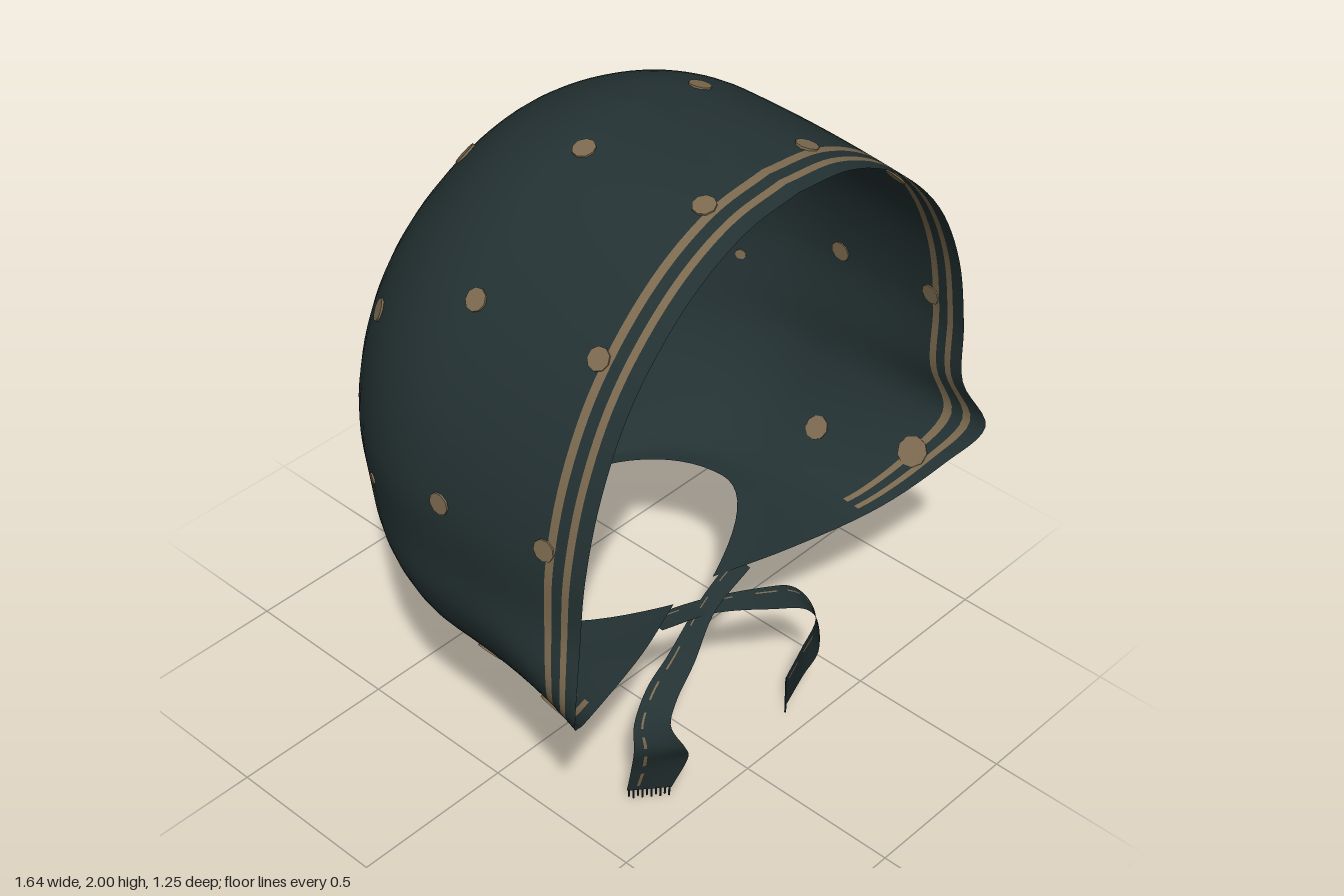
import * as THREE from 'three';
import { mergeVertices } from 'three/addons/utils/BufferGeometryUtils.js';

const cloth = new THREE.MeshStandardMaterial({ color: 0x243233, side: THREE.DoubleSide });
cloth.name = 'darkTealCloth';
const trim = new THREE.MeshStandardMaterial({ color: 0x7d6b50, side: THREE.DoubleSide });
trim.name = 'tanTrim';

const curve = (pts) => new THREE.CatmullRomCurve3(pts.map((p) => new THREE.Vector3(...p)));

// Grid surface; quads where isTrim(i, j) is true get the trim material
function gridGeometry(rows, cols, point, isTrim) {
  const pos = [], base = [], tan = [];
  for (let i = 0; i < rows; i++) for (let j = 0; j < cols; j++) pos.push(...point(i, j));
  for (let i = 0; i < rows - 1; i++) {
    for (let j = 0; j < cols - 1; j++) {
      const a = i * cols + j, c = a + cols;
      (isTrim(i, j) ? tan : base).push(a, a + 1, c, a + 1, c + 1, c);
    }
  }
  let geo = new THREE.BufferGeometry();
  geo.setAttribute('position', new THREE.Float32BufferAttribute(pos, 3));
  geo.setIndex([...base, ...tan]);
  geo.addGroup(0, base.length, 0);
  geo.addGroup(base.length, tan.length, 1);
  geo = mergeVertices(geo, 1e-5);
  geo.computeVertexNormals();
  return geo;
}

// Guide curves of the hood, from crown to neck: middle of back, side, front rim
const back = curve([
  [0, 2, 0.04], [0, 1.97, -0.1], [0, 1.87, -0.29], [0, 1.67, -0.46], [0, 1.45, -0.57], [0, 1.2, -0.62],
  [0, 1, -0.605], [0, 0.85, -0.55], [0, 0.7, -0.465], [0, 0.6, -0.42], [0, 0.545, -0.37], [0, 0.54, -0.33]]);
const side = curve([
  [0, 2, 0.06], [0.2, 1.97, 0.06], [0.4, 1.87, 0.06], [0.6, 1.67, 0.06], [0.72, 1.45, 0.06], [0.775, 1.2, 0.06],
  [0.765, 1, 0.06], [0.75, 0.85, 0.06], [0.68, 0.7, 0.06], [0.57, 0.595, 0.05], [0.48, 0.56, 0.03], [0.41, 0.56, 0.02]]);
const rim = curve([
  [0, 1.97, 0.59], [0.19, 1.945, 0.59], [0.38, 1.85, 0.59], [0.57, 1.66, 0.59], [0.68, 1.44, 0.59], [0.735, 1.2, 0.585],
  [0.755, 1, 0.585], [0.82, 0.83, 0.63], [0.74, 0.71, 0.56], [0.59, 0.585, 0.46], [0.3, 0.555, 0.37], [0.08, 0.535, 0.28]]);

function hoodGeometry() {
  const rows = 67;
  // 0 = middle of back, 1 = side, 2 = front rim; the close steps bound the stripes
  const half = [];
  for (let k = 1; k <= 16; k++) half.push(k / 16);
  half.push(...[0.1, 0.2, 0.3, 0.4, 0.5, 0.6, 0.7, 0.775, 0.82, 0.88, 0.92, 0.96, 1].map((t) => 1 + t));
  const cols = [...half.map((s) => -s).reverse(), 0, ...half];
  const point = (i, j) => {
    const u = i / (rows - 1), s = Math.abs(cols[j]), sign = Math.sign(cols[j]);
    const b = back.getPoint(u), m = side.getPoint(u), r = rim.getPoint(u);
    if (s <= 1) {
      const a = s * Math.PI / 2, y = THREE.MathUtils.lerp(b.y, m.y, Math.sin(a) ** 2);
      return [sign * m.x * Math.sin(a), y, m.z + (b.z - m.z) * Math.cos(a)];
    }
    const t = s - 1, e = t * t;
    return [sign * (m.x + (r.x - m.x) * e), m.y + (r.y - m.y) * e, m.z + (r.z - m.z) * t];
  };
  const isTrim = (i, j) => {
    const t = Math.abs((cols[j] + cols[j + 1]) / 2) - 1;
    return i < rows * 0.82 && ((t > 0.775 && t < 0.82) || (t > 0.88 && t < 0.92));
  };
  return gridGeometry(rows, cols.length, point, isTrim);
}

// Thin disc seated on the nearest point of the hood
function addSpot(group, geo, [x, y, z, r = 0.031]) {
  const P = geo.attributes.position, N = geo.attributes.normal;
  const target = new THREE.Vector3(x, y, z), p = new THREE.Vector3(), best = new THREE.Vector3();
  let id = 0, min = Infinity;
  for (let i = 0; i < P.count; i++) {
    const d = p.fromBufferAttribute(P, i).distanceToSquared(target);
    if (d < min) { min = d; id = i; best.copy(p); }
  }
  const normal = new THREE.Vector3().fromBufferAttribute(N, id);
  // slide the target onto the tangent plane for exact placement
  target.addScaledVector(normal, -target.clone().sub(best).dot(normal));
  const spot = new THREE.Mesh(new THREE.CylinderGeometry(r, r, 0.009, 9), trim);
  spot.name = 'spot';
  spot.position.copy(target);
  spot.quaternion.setFromUnitVectors(new THREE.Vector3(0, 1, 0), normal);
  group.add(spot);
}

// Ribbon between an outer and an inner edge, with a fringed end
function makeTie(sign, lift) {
  const group = new THREE.Group();
  const outer = curve([[-0.18, 0.545, 0.27], [0, 0.52, 0.31], [0.2, 0.475, 0.37], [0.3, 0.425, 0.385],
    [0.365, 0.34, 0.4], [0.38, 0.27, 0.415], [0.36, 0.15, 0.385], [0.34, 0.03, 0.35]]);
  const inner = curve([[-0.18, 0.535, 0.33], [0, 0.5, 0.36], [0.16, 0.455, 0.43], [0.27, 0.405, 0.465],
    [0.305, 0.35, 0.48], [0.28, 0.27, 0.51], [0.243, 0.19, 0.49], [0.243, 0.03, 0.43]]);
  const across = [0, 0.2, 0.26, 0.5, 0.75, 1], rows = 40;
  const point = (i, j) => {
    const u = i / (rows - 1);
    const p = outer.getPoint(u).lerp(inner.getPoint(u), across[j]);
    return [sign * p.x, p.y + lift * u, p.z];
  };
  const ribbon = new THREE.Mesh(gridGeometry(rows, across.length, point,
    (i, j) => j === 1 && i % 5 < 3), [cloth, trim]);
  ribbon.name = 'ribbon';
  group.add(ribbon);
  const a = outer.getPoint(1), b = inner.getPoint(1);
  for (let k = 0; k < 10; k++) {
    const len = k % 2 ? 0.03 : 0.022;
    const thread = new THREE.Mesh(new THREE.BoxGeometry(0.004, len, 0.004), cloth);
    const p = a.clone().lerp(b, (k + 0.5) / 10);
    thread.name = 'fringeThread';
    thread.position.set(sign * p.x, p.y + lift - len / 2, p.z);
    group.add(thread);
  }
  return group;
}

export function createModel() {
  const model = new THREE.Group();
  model.name = 'bonnet';

  // Hood with two stripes along the rim
  const geo = hoodGeometry();
  const hood = new THREE.Mesh(geo, [cloth, trim]);
  hood.name = 'hood';
  model.add(hood);

  // Scattered spots, mirrored to both sides
  const spots = new THREE.Group();
  spots.name = 'spots';
  const list = [
    [0.23, 1.8, -0.35, 0.034], [0.59, 1.5, -0.31], [0.23, 1.26, -0.59, 0.038], [0.53, 1.06, -0.41],
    [0.21, 1.97, 0.08], [0.6, 1.72, 0.07], [0.77, 1.21, 0.12], [0.66, 0.67, 0.16, 0.036],
    [0.19, 1.97, 0.455], [0.57, 1.72, 0.46], [0.75, 1.24, 0.46], [0.72, 0.71, 0.46, 0.045],
    [0.74, 1.08, -0.21, 0.016]];
  for (const [x, y, z, r] of list) for (const s of [1, -1]) addSpot(spots, geo, [s * x, y, z, r]);
  model.add(spots);

  // Crossed chin ties
  const leftTie = makeTie(1, 0);
  leftTie.name = 'leftTie';
  const rightTie = makeTie(-1, 0.025);
  rightTie.name = 'rightTie';
  model.add(leftTie, rightTie);
  return model;
}
